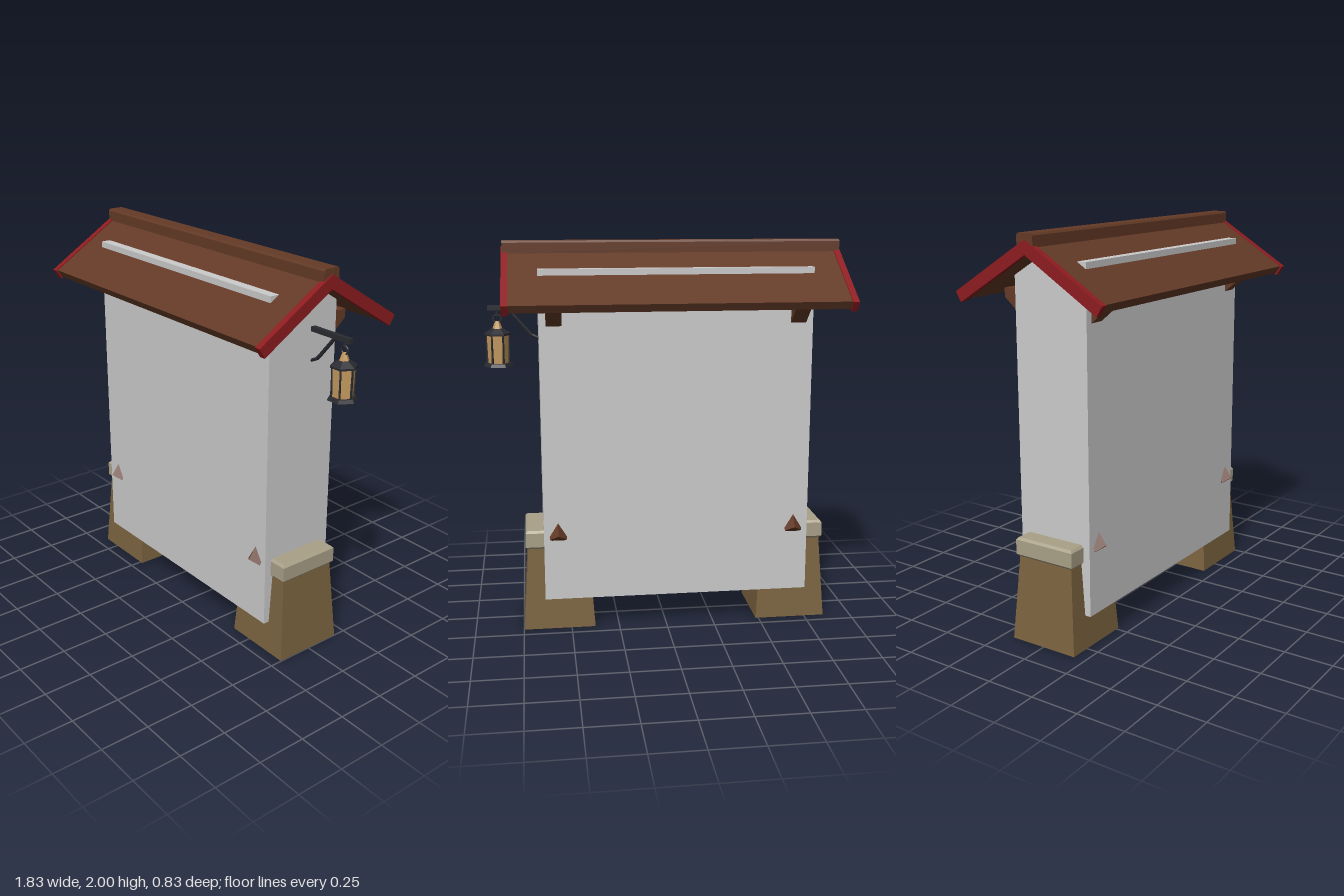
import * as THREE from 'three';

const mat = (name, color, extra = {}) => {
  const m = new THREE.MeshStandardMaterial({ color, flatShading: true, ...extra });
  m.name = name;
  return m;
};

export function createModel() {
  const group = new THREE.Group();
  const board = mat('board grey', 0xcccccc);
  const wood = mat('brown wood', 0x643a26);
  const red = mat('red trim', 0x8e1c20);
  const stone = mat('brown stone', 0x7c6440);
  const cap = mat('pale stone', 0xaaa188);
  const iron = mat('dark iron', 0x2a2b31);
  const glass = mat('amber glass', 0xc59a5f);

  const add = (name, geo, material, x = 0, y = 0, z = 0, parent = group) => {
    const m = new THREE.Mesh(geo, material);
    m.name = name;
    m.position.set(x, y, z);
    parent.add(m);
    return m;
  };
  const box = (name, w, h, d, material, x, y, z) =>
    add(name, new THREE.BoxGeometry(w, h, d), material, x, y, z);
  // Extrude a (z, y) profile along x, centred on x = 0
  const prism = (points, width) => {
    const g = new THREE.ExtrudeGeometry(
      new THREE.Shape(points.map(([z, y]) => new THREE.Vector2(z, y))),
      { depth: width, bevelEnabled: false });
    g.translate(0, 0, -width / 2);
    g.rotateY(-Math.PI / 2);
    return g;
  };
  // Square frustum, centred on the origin in x and z, base at y = 0
  const frustum = (bottom, top, h) => {
    const g = new THREE.CylinderGeometry(top * Math.SQRT2, bottom * Math.SQRT2, h, 4);
    g.rotateY(Math.PI / 4);
    g.translate(0, h / 2, 0);
    return g;
  };

  // Main panel
  box('panel', 1.38, 1.70, 0.41, board, -0.055, 1.02, 0);

  // Roof slopes, gable trims and ridge beam
  const slope = (peak, end, endY, t) => [
    [0, peak], [end, endY], [end - t * 0.53, endY - t * 0.85],
    [0, peak - t * 1.18], [-(end - t * 0.53), endY - t * 0.85], [-end, endY]];
  add('roof', prism(slope(1.966, 0.405, 1.715, 0.045), 1.68), wood, -0.055);
  for (const x of [-0.902, 0.795])
    add('gableTrim', prism(slope(1.972, 0.415, 1.714, 0.057), 0.032), red, x);
  add('ridgeBeam', prism([[-0.045, 1.937], [0.045, 1.937], [0.045, 1.99], [0.037, 2],
    [-0.037, 2], [-0.045, 1.99]], 1.72), wood, -0.055);

  for (const x of [-0.67, 0.562]) {
    // Tapered foot with a chamfered cap stone
    add('foot', frustum(0.186, 0.155, 0.44), stone, x);
    add('footCapLower', frustum(0.157, 0.168, 0.012), cap, x, 0.432);
    box('footCap', 0.336, 0.074, 0.336, cap, x, 0.481, 0);
    add('footCapUpper', frustum(0.168, 0.157, 0.012), cap, x, 0.518);

    for (const s of [1, -1]) {
      // Eave bracket
      const bracket = add('eaveBracket', prism([[0.19, 1.58], [0.30, 1.672], [0.30, 1.716],
        [0.19, 1.716]], 0.078), wood, x);
      // Slanting square peg, set on its corner
      const g = new THREE.CylinderGeometry(0.044, 0.044, 0.16, 4);
      g.translate(0, 0.08, 0);
      g.rotateX(-0.66);
      const peg = add('peg', g, wood, x, 0.497, 0.215);
      if (s < 0) {
        bracket.rotation.y = Math.PI;
        peg.rotation.y = Math.PI;
        peg.position.z = -0.215;
      }
    }
  }

  // Lantern arm and brace
  const LX = 0.838, LZ = -0.068;
  box('lanternArm', 0.27, 0.024, 0.024, iron, 0.75, 1.672, LZ + 0.008);
  const brace = new THREE.CurvePath();
  const pts = [[0.62, 1.51], [0.672, 1.535], [0.775, 1.655], [0.80, 1.668]]
    .map(([x, y]) => new THREE.Vector3(x, y, LZ + 0.008));
  for (let i = 0; i < 3; i++) brace.add(new THREE.LineCurve3(pts[i], pts[i + 1]));
  add('armBrace', new THREE.TubeGeometry(brace, 18, 0.009, 6), iron);

  // Hexagonal hanging lantern
  const lantern = new THREE.Group();
  lantern.name = 'lantern';
  lantern.position.set(LX, 0, LZ);
  group.add(lantern);
  const hex = (name, top, bottom, y0, y1, material) => {
    const g = new THREE.CylinderGeometry(top, bottom, y1 - y0, 6);
    g.rotateY(Math.PI / 6);
    add(name, g, material, 0, (y0 + y1) / 2, 0, lantern);
  };
  hex('lanternBase', 0.066, 0.074, 1.38, 1.397, iron);
  hex('lanternGlass', 0.056, 0.052, 1.397, 1.54, glass);
  hex('lanternEave', 0.066, 0.066, 1.537, 1.547, iron);
  hex('lanternLid', 0.028, 0.066, 1.547, 1.57, iron);
  hex('lanternNeck', 0.012, 0.024, 1.57, 1.605, glass);
  for (let i = 0; i < 6; i++) {
    const a = i * Math.PI / 3;
    const post = add('lanternPost', new THREE.BoxGeometry(0.008, 0.145, 0.008), iron,
      0.054 * Math.cos(a), 1.468, 0.054 * Math.sin(a), lantern);
    post.rotation.y = -a;
  }
  add('lanternRing', new THREE.TorusGeometry(0.02, 0.005, 6, 14), iron, 0, 1.618, 0, lantern);
  add('lanternHook', new THREE.CylinderGeometry(0.006, 0.006, 0.035, 6), iron, 0, 1.65, 0, lantern);

  return group;
}
